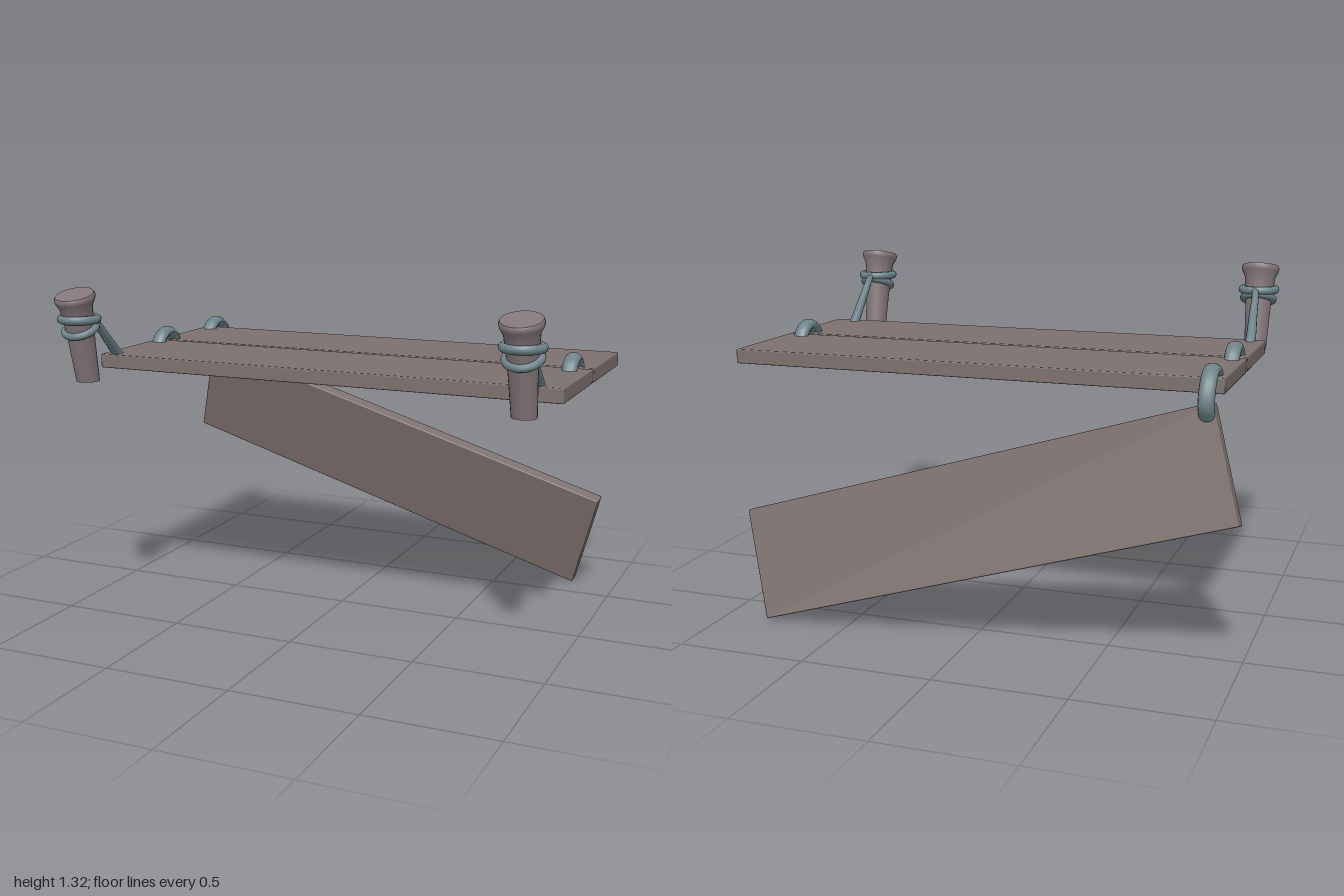
import * as THREE from 'three';
import { RoundedBoxGeometry } from 'three/addons/geometries/RoundedBoxGeometry.js';

const wood = new THREE.MeshStandardMaterial({ color: 0x7d716e });
const postWood = new THREE.MeshStandardMaterial({ color: 0x84777a });
const rope = new THREE.MeshStandardMaterial({ color: 0x6d8389 });

function add(parent, name, geometry, material) {
  const mesh = new THREE.Mesh(geometry, material);
  mesh.name = name;
  parent.add(mesh);
  return mesh;
}

function plank(parent, name) {
  return add(parent, name, new RoundedBoxGeometry(1.9, 0.43, 0.056, 1, 0.005), wood);
}

// Rope along [x, y, z] points, with rounded ends; radius runs from r0 to r1, widened along x by wide
function ropeTube(parent, name, points, r0, r1, wide = 1) {
  const curve = new THREE.CatmullRomCurve3(points.map((p) => new THREE.Vector3(...p)));
  const steps = 28, sides = 12;
  const geo = new THREE.TubeGeometry(curve, steps, 1, sides, false);
  const pos = geo.attributes.position;
  const v = new THREE.Vector3();
  for (let i = 0; i < pos.count; i++) {
    const t = Math.floor(i / (sides + 1)) / steps;
    const c = curve.getPointAt(t);
    v.fromBufferAttribute(pos, i).sub(c).multiplyScalar(r0 + (r1 - r0) * t);
    v.x *= wide;
    v.add(c);
    pos.setXYZ(i, v.x, v.y, v.z);
  }
  geo.computeVertexNormals();
  add(parent, name, geo, rope);
  for (const [t, r] of [[0, r0], [1, r1]]) {
    const end = add(parent, name + 'End', new THREE.SphereGeometry(r, 12, 8), rope);
    end.position.copy(curve.getPointAt(t));
    end.scale.x = wide;
  }
}

// Leaning peg: flat foot, flared head whose top tips forward
function postGeometry() {
  const outline = [[0.045, 0], [0.051, 0.15], [0.058, 0.25], [0.063, 0.295],
    [0.075, 0.318], [0.078, 0.332], [0.073, 0.342]];
  const segments = [[[0, 0], [0.045, 0]], outline, [[0.073, 0.342], [0, 0.342]]];
  return segments.map((seg) => {
    const geo = new THREE.LatheGeometry(seg.map((p) => new THREE.Vector2(...p)), 24);
    const pos = geo.attributes.position;
    for (let i = 0; i < pos.count; i++) {
      const y = pos.getY(i), z = pos.getZ(i);
      pos.setXYZ(i, pos.getX(i), y - z * 0.267 * (y / 0.342), z + y * 0.196);
    }
    geo.computeVertexNormals();
    return geo;
  });
}

function post(parent, x, strandX) {
  const group = new THREE.Group();
  group.name = 'post';
  parent.add(group);
  postGeometry().forEach((geo, i) => {
    add(group, ['postFoot', 'postBody', 'postTop'][i], geo, postWood).position.set(x, 0.965, 0.548);
  });
  // Two rope turns around the peg
  const upper = add(group, 'upperRopeTurn', new THREE.TorusGeometry(0.067, 0.017, 10, 28), rope);
  upper.position.set(x, 1.211, 0.589);
  upper.rotation.x = Math.PI / 2;
  const lower = add(group, 'lowerRopeTurn', new THREE.TorusGeometry(0.061, 0.015, 10, 28), rope);
  lower.position.set(x, 1.173, 0.583);
  lower.rotation.x = Math.PI / 2 + 0.42;
  // Strand down to the deck
  ropeTube(group, 'ropeStrand', [[x + 0.01, 1.212, 0.53], [x, 1.205, 0.5],
    [(x + strandX) / 2, 1.125, 0.41], [strandX, 1.05, 0.325], [strandX, 1.02, 0.295]], 0.013, 0.021);
}

export function createModel() {
  const model = new THREE.Group();
  model.name = 'brokenBridge';

  // Two level planks
  for (const [name, z] of [['frontPlank', 0.132], ['middlePlank', -0.315]]) {
    const board = plank(model, name);
    board.rotation.x = Math.PI / 2;
    board.position.set(0.042, 1.008, z);
  }

  // Loose plank hanging by one corner
  const along = new THREE.Vector3(1.815, -0.55, 0).normalize();
  const down = new THREE.Vector3(-0.12, -0.4, -0.103);
  down.addScaledVector(along, -down.dot(along)).normalize();
  const back = new THREE.Vector3().crossVectors(along, down);
  const hanging = plank(model, 'hangingPlank');
  hanging.quaternion.setFromRotationMatrix(new THREE.Matrix4().makeBasis(along, down, back));
  hanging.position.set(-0.882, 0.95, -0.53)
    .addScaledVector(along, 0.95).addScaledVector(down, 0.215).addScaledVector(back, 0.028);

  // Rope loops joining the planks
  for (const x of [-0.86, 0.915]) {
    ropeTube(model, 'ropeLoop', [[x, 1.02, -0.015], [x, 1.055, -0.04], [x, 1.074, -0.085],
      [x, 1.055, -0.13], [x, 1.02, -0.155]], 0.022, 0.022, 1.35);
  }
  const x = -0.86;
  ropeTube(model, 'hangingRopeLoop', [[x, 1.02, -0.452], [x, 1.05, -0.48], [x, 1.063, -0.525],
    [x, 1.043, -0.57], [x, 1.0, -0.602], [x, 0.95, -0.61], [x, 0.915, -0.59]], 0.022, 0.022, 1.35);

  // Anchor pegs
  post(model, -0.835, -0.852);
  post(model, 0.908, 0.895);
  return model;
}
